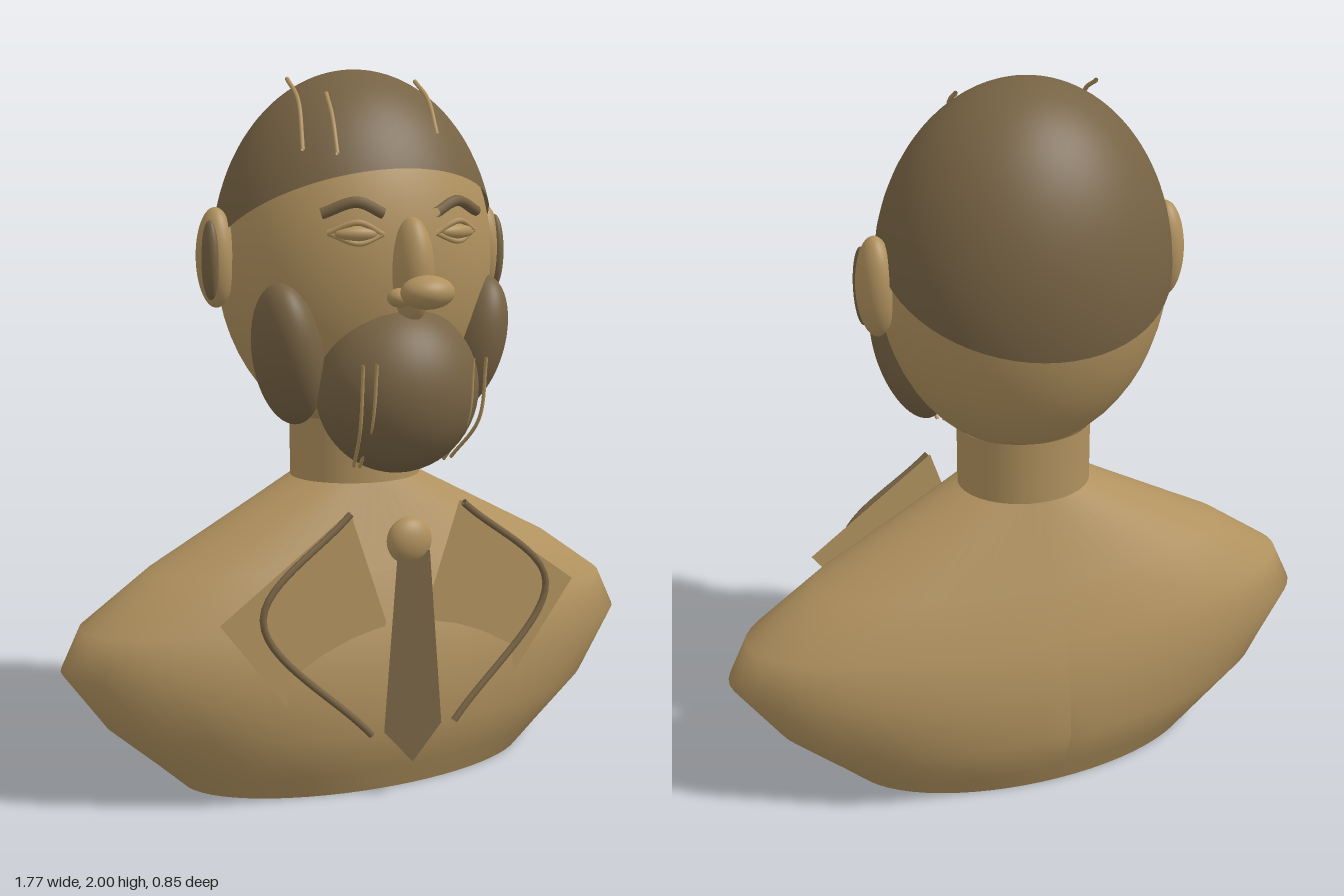
import * as THREE from 'three';

const bronze = new THREE.MeshStandardMaterial({ color: 0xb0915e, side: THREE.DoubleSide });
bronze.name = 'bronze';
const darkBronze = new THREE.MeshStandardMaterial({ color: 0x776344, side: THREE.DoubleSide });
darkBronze.name = 'dark bronze';

const AXIS_Z = -0.063; // shared axis of torso, neck and head

export function createModel() {
  const group = new THREE.Group();

  const add = (name, geometry, material) => {
    const mesh = new THREE.Mesh(geometry, material);
    mesh.name = name;
    group.add(mesh);
    return mesh;
  };
  const ellipsoid = (name, material, radii, position, rotation = [0, 0, 0]) => {
    const mesh = add(name, new THREE.SphereGeometry(1, 40, 28), material);
    mesh.scale.set(...radii);
    mesh.position.set(...position);
    mesh.rotation.set(...rotation);
    return mesh;
  };
  const tube = (name, material, radius, points) => {
    const curve = new THREE.CatmullRomCurve3(points.map(p => new THREE.Vector3(...p)));
    return add(name, new THREE.TubeGeometry(curve, 32, radius, 8), material);
  };
  const plate = (name, material, outline, z) => {
    const shape = new THREE.Shape(outline.map(p => new THREE.Vector2(...p)));
    const mesh = add(name, new THREE.ShapeGeometry(shape), material);
    mesh.position.z = z;
    return mesh;
  };

  // Torso: elliptical rings [y, half width, half depth], open underneath
  const rings = [
    [0, 0.54, 0.275], [0.07, 0.615, 0.305], [0.2, 0.76, 0.357], [0.375, 0.885, 0.343],
    [0.49, 0.83, 0.315], [0.63, 0.63, 0.264], [0.86, 0.19, 0.174],
  ];
  const torso = new THREE.LatheGeometry(
    rings.map(([y, w]) => new THREE.Vector2(w, y)), 64, Math.PI);
  const pos = torso.attributes.position;
  for (let i = 0; i < pos.count; i++) {
    const [, w, d] = rings[i % rings.length];
    pos.setZ(i, pos.getZ(i) * d / w);
  }
  torso.computeVertexNormals();
  add('torso', torso, bronze).position.z = AXIS_Z;

  // Neck
  const neck = add('neck', new THREE.CylinderGeometry(1, 1, 0.2, 48, 1, true), bronze);
  neck.scale.set(0.19, 1, 0.174);
  neck.position.set(0, 0.94, AXIS_Z);

  // Head and the tilted cap of hair
  ellipsoid('head', bronze, [0.4, 0.5, 0.345], [0, 1.48, AXIS_Z]);
  const hair = new THREE.SphereGeometry(1, 64, 32, 0, Math.PI * 2, 0, 1.452);
  hair.rotateX(-0.386);
  hair.scale(0.41, 0.52, 0.355);
  add('hair', hair, darkBronze).position.set(0, 1.48, AXIS_Z);

  // Nose and beard
  ellipsoid('noseBridge', bronze, [0.057, 0.14, 0.07], [0, 1.465, 0.28]);
  ellipsoid('noseTip', bronze, [0.075, 0.045, 0.06], [0, 1.412, 0.368]);
  ellipsoid('beard', darkBronze, [0.23, 0.232, 0.2], [0, 1.138, 0.2]);

  // Paired parts
  for (const s of [1, -1]) {
    const side = s > 0 ? 'left' : 'right';
    const mirror = points => points.map(([x, ...rest]) => [s * x, ...rest]);

    ellipsoid(side + 'Ear', bronze, [0.052, 0.137, 0.067], [s * 0.42, 1.49, -0.068]);
    ellipsoid(side + 'InnerEar', darkBronze, [0.023, 0.108, 0.038], [s * 0.447, 1.485, -0.038]);
    ellipsoid(side + 'Nostril', bronze, [0.036, 0.026, 0.032], [s * 0.058, 1.397, 0.325]);
    ellipsoid(side + 'Whisker', darkBronze, [0.092, 0.205, 0.128], [s * 0.28, 1.235, 0.095],
      [0.25, 0, -s * 0.2]);

    ellipsoid(side + 'Eye', bronze, [0.06, 0.022, 0.025], [s * 0.15, 1.562, 0.25], [0, s * 0.25, 0]);
    tube(side + 'UpperLid', bronze, 0.008,
      mirror([[0.08, 1.56, 0.268], [0.15, 1.592, 0.265], [0.22, 1.565, 0.225]]));
    tube(side + 'LowerLid', bronze, 0.007,
      mirror([[0.08, 1.56, 0.268], [0.15, 1.537, 0.265], [0.22, 1.565, 0.225]]));
    tube(side + 'Brow', darkBronze, 0.015,
      mirror([[0.08, 1.615, 0.27], [0.15, 1.645, 0.255], [0.235, 1.615, 0.215]]));

    // Fine beard strands
    tube(side + 'OuterBeardStrand', bronze, 0.005,
      mirror([[0.185, 1.23, 0.362], [0.18, 1.06, 0.335], [0.15, 0.94, 0.235]]));
    tube(side + 'InnerBeardStrand', bronze, 0.005,
      mirror([[0.145, 1.23, 0.362], [0.145, 1.06, 0.335], [0.13, 0.935, 0.23]]));

    // Jacket lapel with its piped edge
    plate(side + 'Lapel', bronze,
      mirror([[0.17, 0.82], [0.55, 0.55], [0.36, 0.3], [0.1, 0.2], [0.06, 0.5]]), 0.252);
    tube(side + 'LapelEdge', darkBronze, 0.01,
      mirror([[0.175, 0.815, 0.265], [0.44, 0.56, 0.282], [0.13, 0.2, 0.302]]));
  }

  // Tie and knot
  plate('tie', darkBronze,
    [[-0.05, 0.7], [-0.09, 0.2], [0, 0.1], [0.09, 0.2], [0.05, 0.7]], 0.3);
  ellipsoid('tieKnot', bronze, [0.066, 0.066, 0.042], [0, 0.727, 0.273]);

  // Loose hair strands
  [
    [[-0.215, 1.97, -0.04], [-0.245, 1.905, 0.1], [-0.27, 1.78, 0.18]],
    [[-0.145, 1.93, 0.06], [-0.165, 1.865, 0.14], [-0.182, 1.77, 0.205]],
    [[0.18, 1.97, -0.04], [0.148, 1.91, 0.1], [0.13, 1.82, 0.18]],
  ].forEach((points, i) => tube('hairStrand' + (i + 1), bronze, 0.006, points));

  return group;
}
